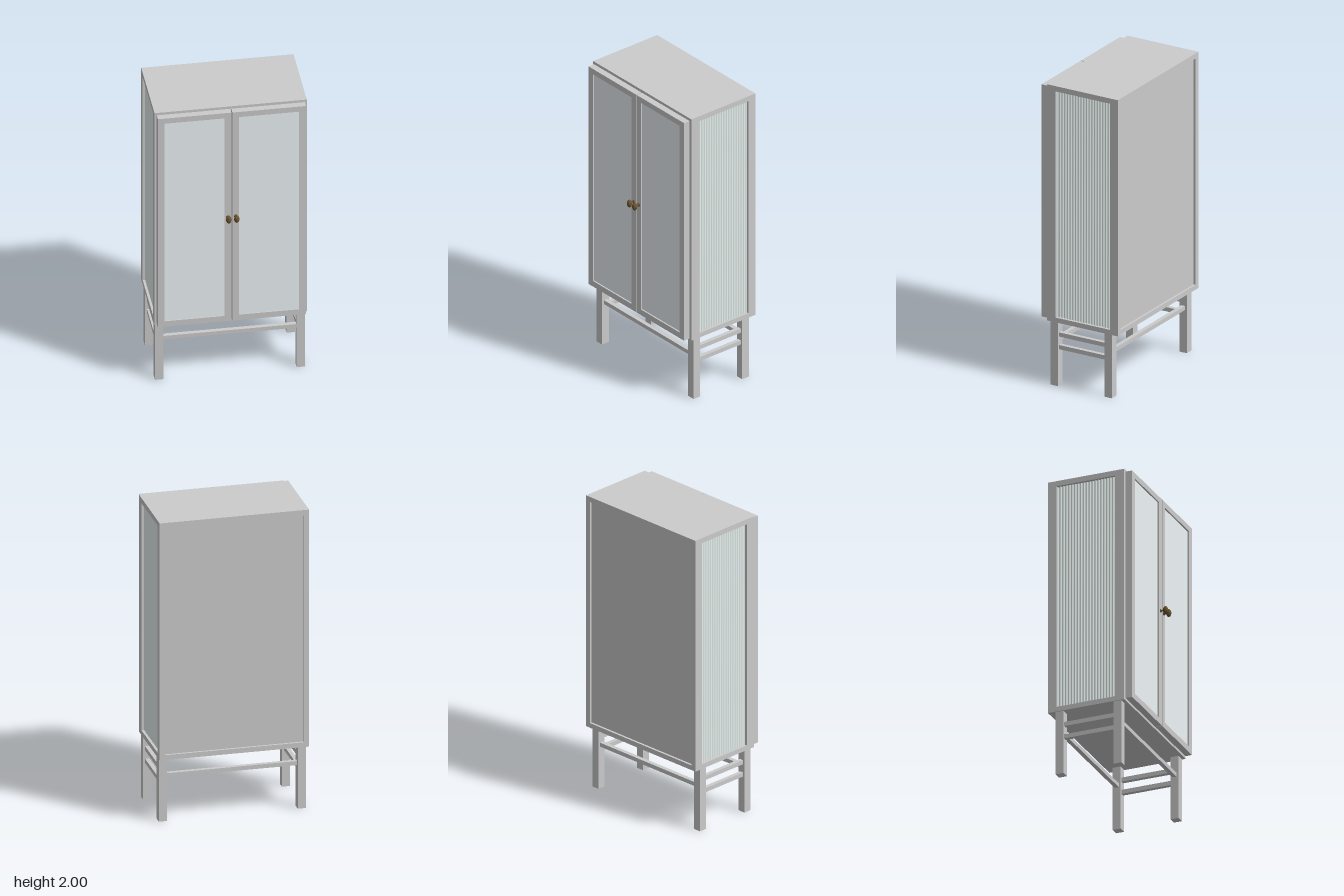
import * as THREE from 'three';

const wood = new THREE.MeshStandardMaterial({ color: 0xcccccc });
const doorGlass = new THREE.MeshStandardMaterial({ color: 0xeef4f8 });
const sideGlass = new THREE.MeshStandardMaterial({ color: 0xeaf4f2, side: THREE.DoubleSide });
const brass = new THREE.MeshStandardMaterial({ color: 0x6b5533 });

// Box given by its lower and upper limits on each axis
function box(parent, name, [x0, x1], [y0, y1], [z0, z1], material = wood) {
  const mesh = new THREE.Mesh(new THREE.BoxGeometry(x1 - x0, y1 - y0, z1 - z0), material);
  mesh.position.set((x0 + x1) / 2, (y0 + y1) / 2, (z0 + z1) / 2);
  mesh.name = name;
  parent.add(mesh);
  return mesh;
}

// Rectangle with a rectangular opening, extruded along z
function frameGeometry([x0, x1, y0, y1], [a0, a1, b0, b1], depth) {
  const shape = new THREE.Shape();
  shape.moveTo(x0, y0).lineTo(x1, y0).lineTo(x1, y1).lineTo(x0, y1).closePath();
  const hole = new THREE.Path();
  hole.moveTo(a0, b0).lineTo(a0, b1).lineTo(a1, b1).lineTo(a1, b0).closePath();
  shape.holes.push(hole);
  return new THREE.ExtrudeGeometry(shape, { depth, bevelEnabled: false });
}

// Ribbed glass: a plane whose vertices follow a wave
function flutedPane(width, height) {
  const flutes = 20;
  const geo = new THREE.PlaneGeometry(width, height, flutes * 8, 1);
  const p = geo.attributes.position;
  for (let i = 0; i < p.count; i++) {
    p.setZ(i, 0.003 * Math.cos((p.getX(i) / width) * flutes * 2 * Math.PI));
  }
  geo.computeVertexNormals();
  return geo;
}

function createCabinet() {
  const body = new THREE.Group();
  body.name = 'cabinetBody';
  box(body, 'topPanel', [-0.478, 0.478], [1.965, 2], [-0.307, 0.208]);
  box(body, 'bottomPanel', [-0.478, 0.478], [0.425, 0.457], [-0.307, 0.208]);
  box(body, 'backPanel', [-0.45, 0.45], [0.457, 1.965], [-0.292, -0.275]);
  for (const s of [-1, 1]) {
    const xs = s < 0 ? [-0.478, -0.445] : [0.445, 0.478];
    box(body, 'frontPost', xs, [0.457, 1.965], [0.145, 0.208]);
    box(body, 'rearPost', xs, [0.457, 1.965], [-0.307, -0.25]);
    const pane = new THREE.Mesh(flutedPane(0.395, 1.508), sideGlass);
    pane.name = 'flutedSideGlass';
    pane.rotation.y = s * Math.PI / 2;
    pane.position.set(s * 0.46, 1.211, -0.0525);
    body.add(pane);
  }
  return body;
}

function createDoor(s) {
  const door = new THREE.Group();
  door.name = s > 0 ? 'leftDoor' : 'rightDoor';
  const span = (a, b) => (s > 0 ? [a, b] : [-b, -a]);
  const frame = new THREE.Mesh(frameGeometry(
    [...span(0.003, 0.465), 0.437, 1.985], [...span(0.045, 0.422), 0.477, 1.947], 0.044), wood);
  frame.name = 'doorFrame';
  frame.position.z = 0.212;
  door.add(frame);
  box(door, 'doorGlass', span(0.045, 0.422), [0.477, 1.947], [0.23, 0.246], doorGlass);

  // Knob: round rose, thin neck and an upright oval head
  const profile = [[0, 0], [0.011, 0], [0.011, 0.003], [0.005, 0.005], [0.005, 0.026]];
  const neck = new THREE.Mesh(
    new THREE.LatheGeometry(profile.map(([r, y]) => new THREE.Vector2(r, y)), 20), brass);
  neck.name = 'knobNeck';
  neck.rotation.x = Math.PI / 2;
  neck.position.set(s * 0.025, 1.213, 0.256);
  const head = new THREE.Mesh(new THREE.SphereGeometry(1, 28, 18), brass);
  head.name = 'knobHead';
  head.scale.set(0.0165, 0.026, 0.0165);
  head.position.set(s * 0.025, 1.213, 0.29);
  door.add(neck, head);
  return door;
}

function createStand() {
  const stand = new THREE.Group();
  stand.name = 'stand';
  for (const s of [-1, 1]) {
    const span = (a, b) => (s > 0 ? [a, b] : [-b, -a]);
    box(stand, 'frontLeg', span(0.418, 0.471), [0, 0.425], [0.132, 0.185]);
    box(stand, 'rearLeg', span(0.418, 0.471), [0, 0.425], [-0.259, -0.206]);
    // Two rails on each side
    for (const y of [0.256, 0.34]) {
      box(stand, 'sideRail', span(0.431, 0.458), [y - 0.014, y + 0.014], [-0.206, 0.132]);
    }
  }
  // One long rail at the front and one at the back
  for (const z of [0.158, -0.232]) {
    box(stand, 'longRail', [-0.418, 0.418], [0.285, 0.312], [z - 0.014, z + 0.014]);
  }
  return stand;
}

export function createModel() {
  const model = new THREE.Group();
  model.name = 'displayCabinet';
  model.add(createCabinet(), createDoor(-1), createDoor(1), createStand());
  return model;
}
